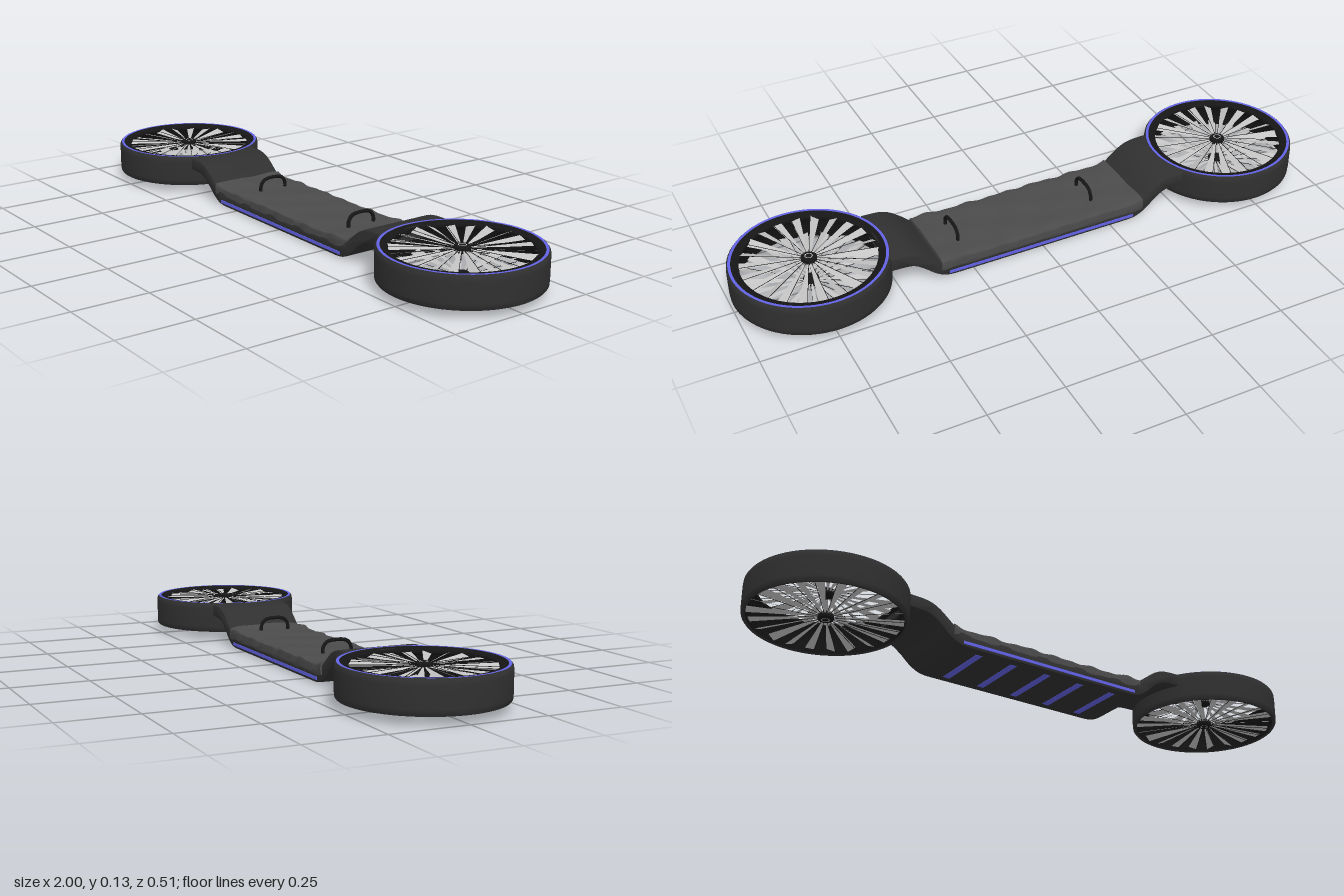
import * as THREE from 'three';
import { toCreasedNormals, mergeGeometries } from 'three/addons/utils/BufferGeometryUtils.js';

const mat = (name, color, side = THREE.FrontSide) => {
  const m = new THREE.MeshStandardMaterial({ color, side });
  m.name = name;
  return m;
};

export function createModel() {
  const root = new THREE.Group();
  root.name = 'hoverBoard';
  const shell = mat('charcoal shell', 0x303030, THREE.DoubleSide);
  const black = mat('black fittings', 0x161616, THREE.DoubleSide);
  const cloth = mat('grey pad', 0x4b4b4b);
  const blue = mat('blue light', 0x6666f0, THREE.DoubleSide);
  const steel = mat('fan steel', 0xc4c4c4, THREE.DoubleSide);

  const add = (parent, name, geo, material, x = 0, y = 0, z = 0) => {
    const m = new THREE.Mesh(geo, material);
    m.name = name;
    m.position.set(x, y, z);
    parent.add(m);
    return m;
  };

  // Deck with both rising arms, one side profile mirrored in x
  const lower = [[0.31, 0.004], [0.345, 0.008], [0.38, 0.026], [0.42, 0.06], [0.46, 0.083], [0.525, 0.088]];
  const upper = [[0.525, 0.125], [0.47, 0.122], [0.43, 0.108], [0.39, 0.078], [0.355, 0.05], [0.31, 0.042]];
  const spline = (pts) => new THREE.SplineCurve(pts.map((p) => new THREE.Vector2(...p))).getPoints(20);
  const half = [...spline(lower), ...spline(upper)];
  const mirrored = half.map((p) => new THREE.Vector2(-p.x, p.y)).reverse();
  const deckGeo = new THREE.ExtrudeGeometry(new THREE.Shape([...half, ...mirrored]), {
    depth: 0.248, bevelEnabled: true, bevelThickness: 0.006, bevelSize: 0.003, bevelSegments: 3,
  });
  add(root, 'deck', toCreasedNormals(deckGeo, 0.6), shell, 0, 0, -0.128);

  // Light strips along both long edges and across the underside
  for (const z of [0.126, -0.134]) {
    add(root, 'edgeLight', new THREE.BoxGeometry(0.67, 0.01, 0.004), blue, 0, 0.015, z);
  }
  for (let i = -2; i <= 2; i++) {
    add(root, 'undersideLight', new THREE.BoxGeometry(0.024, 0.004, 0.2), blue, i * 0.13, 0.002, -0.004);
  }

  // Soft rumpled pad, its rim rounded and scalloped by a rule
  const padGeo = new THREE.BoxGeometry(0.73, 0.036, 0.266, 64, 4, 24);
  const p = padGeo.attributes.position;
  for (let i = 0; i < p.count; i++) {
    const x = p.getX(i), y = p.getY(i), z = p.getZ(i);
    const u = x / 0.365, v = z / 0.133, t = y / 0.018;
    const edge = Math.pow(Math.abs(v), 10);
    const wave = 0.003 * Math.sin(x * 45) + 0.002 * Math.sin(x * 83 + 1);
    const wrinkle = 0.0015 * Math.sin(x * 38 + z * 24) + 0.001 * Math.sin(z * 50 - x * 17);
    const lift = 0.006 * Math.pow(Math.abs(u), 6);
    p.setY(i, y + (t > 0 ? t * wrinkle + lift : 0) + edge * (wave * 0.7 - 0.006 * Math.max(t, 0)));
    p.setZ(i, z * (1 - 0.02 * t * t) + v * edge * wave * 0.4);
  }
  padGeo.computeVertexNormals();
  add(root, 'pad', toCreasedNormals(padGeo, 0.8), cloth, -0.004, 0.048, -0.006);

  // Foot loops
  const loop = new THREE.CatmullRomCurve3([
    [-0.05, 0], [-0.049, 0.024], [-0.036, 0.042], [0, 0.048], [0.036, 0.042], [0.049, 0.024], [0.05, 0],
  ].map(([z, y]) => new THREE.Vector3(0, y, z)));
  for (const x of [-0.215, 0.27]) {
    add(root, 'footLoop', new THREE.TubeGeometry(loop, 28, 0.006, 8), black, x, 0.06, -0.007);
  }

  // Duct wall, dark rim and inner liner, light ring set in the rim
  const lathe = (pts, segs = 72) =>
    toCreasedNormals(new THREE.LatheGeometry(pts.map((q) => new THREE.Vector2(...q)), segs), 0.7);
  const ductGeo = lathe([
    [0.24, 0.028], [0.243, 0.026], [0.249, 0.026], [0.252, 0.03], [0.253, 0.045], [0.253, 0.11],
    [0.252, 0.124], [0.248, 0.1295], [0.238, 0.1295],
  ]);
  const linerGeo = lathe([
    [0.24, 0.1295], [0.222, 0.128], [0.214, 0.122], [0.214, 0.114], [0.226, 0.1], [0.234, 0.06], [0.24, 0.028],
  ]);
  const lightGeo = new THREE.RingGeometry(0.238, 0.247, 72).rotateX(-Math.PI / 2);

  // Hub cap with a pale ring
  const hubGeo = lathe([
    [0, -0.01], [0.022, -0.01], [0.025, -0.007], [0.025, 0.007], [0.022, 0.01], [0, 0.01],
  ], 28);
  const hubRingGeo = new THREE.RingGeometry(0.01, 0.013, 28).rotateX(-Math.PI / 2);

  // Twisted blades, widening outward, their pitch varying around the hub
  const blade = (tilt, reach) => {
    const geo = new THREE.PlaneGeometry(1, 1, 6, 2);
    const b = geo.attributes.position;
    for (let i = 0; i < b.count; i++) {
      const s = b.getX(i) + 0.5, w = -b.getY(i) * (0.004 + 0.025 * s);
      b.setXYZ(i, 0.02 + (reach - 0.02) * s, w * Math.sin(tilt), w * Math.cos(tilt));
    }
    return geo.toNonIndexed();
  };
  const around = (make, count, offset) => mergeGeometries(Array.from({ length: count },
    (_, i) => make(i).rotateY(offset + (i * Math.PI * 2) / count)));
  const wire = (reach) => new THREE.CylinderGeometry(0.0009, 0.0009, reach - 0.015, 5)
    .rotateZ(Math.PI / 2).translate((reach + 0.015) / 2, 0, 0);

  // A spoked screen: hub, blades and wires
  const screen = (name, reach, offset) => {
    const g = new THREE.Group();
    g.name = name;
    const blades = around((i) => blade(0.45 * Math.sin(i * 2.4 + offset), reach), 22, offset);
    blades.computeVertexNormals();
    add(g, 'hub', hubGeo, black);
    add(g, 'blades', blades, steel, 0, -0.002);
    add(g, 'wires', around(() => wire(reach), 22, offset + 0.07), black, 0, 0.003);
    add(g, 'hubRing', hubRingGeo, steel, 0, 0.011);
    return g;
  };

  for (const side of [-1, 1]) {
    const fan = new THREE.Group();
    fan.name = side > 0 ? 'leftFan' : 'rightFan';
    fan.position.x = side * 0.747;
    add(fan, 'duct', ductGeo, shell);
    add(fan, 'liner', linerGeo, black);
    add(fan, 'ductLight', lightGeo, blue, 0, 0.1303);
    const top = screen('upperScreen', 0.218, 0);
    top.position.y = side > 0 ? 0.121 : 0.118;
    const bottom = screen('lowerScreen', 0.238, 0.1);
    bottom.position.y = 0.038;
    bottom.rotation.x = Math.PI;
    fan.add(top, bottom);
    root.add(fan);
  }
  return root;
}
